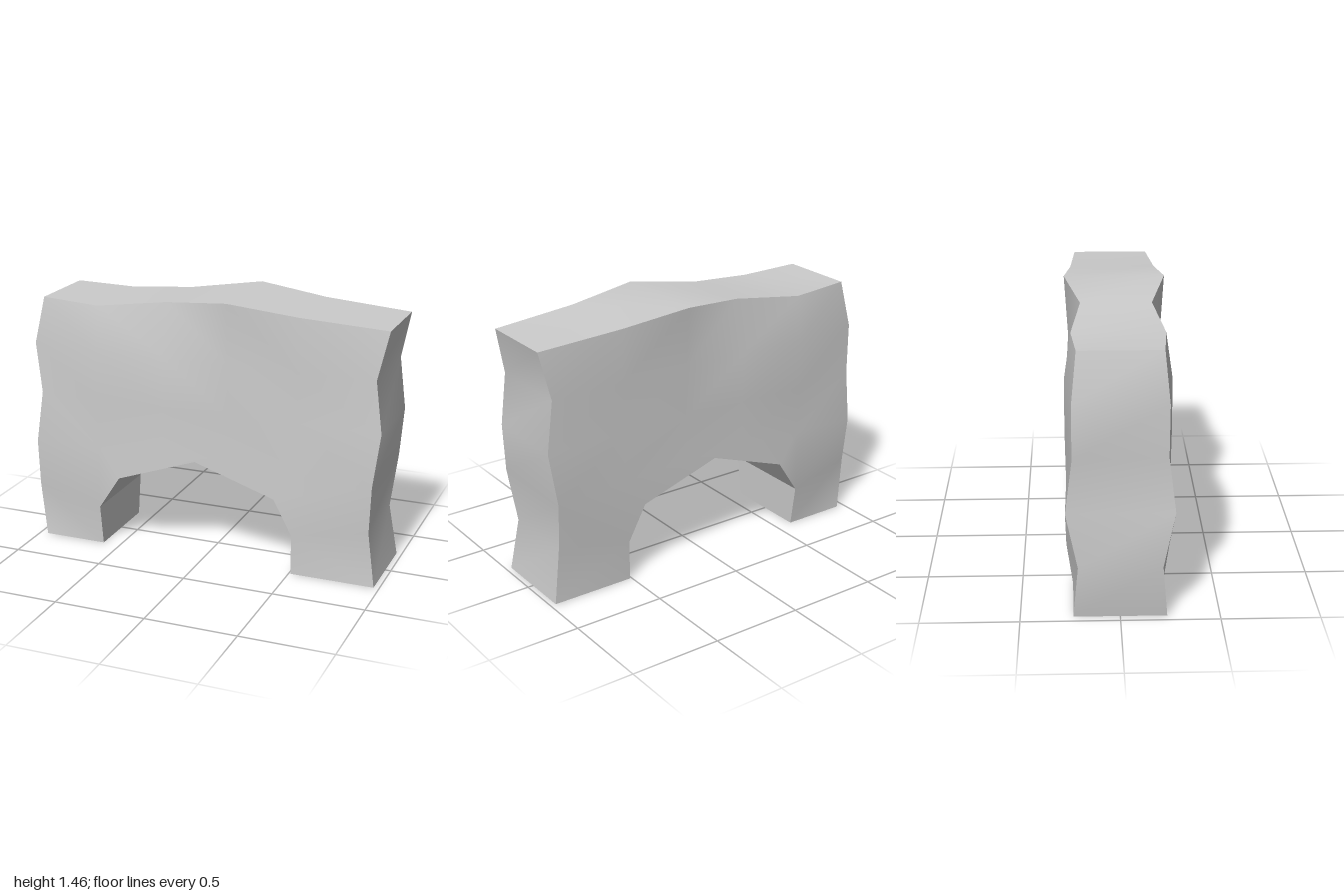
import * as THREE from 'three';
import { toCreasedNormals } from 'three/addons/utils/BufferGeometryUtils.js';

// Front control points: [x, y, half depth, optional x on the back]
const rows = [
  [[-0.93, 1.385, 0.21], [-0.6, 1.372, 0.235], [-0.22, 1.415, 0.185], [0.15, 1.46, 0.27], [0.53, 1.415, 0.235], [1, 1.385, 0.21]],
  [[-0.98, 1.13, 0.235], [-0.6, 1.13, 0.27], [-0.22, 1.13, 0.255], [0.15, 1.13, 0.25], [0.53, 1.13, 0.235], [0.945, 1.13, 0.235]],
  [[-0.95, 0.85, 0.235, -0.978], [-0.6, 0.85, 0.27], [-0.22, 0.85, 0.25], [0.15, 0.85, 0.245], [0.53, 0.85, 0.235], [0.98, 0.85, 0.235]],
  [[-0.975, 0.57, 0.27], [-0.6, 0.58, 0.265], [-0.22, 0.6, 0.255], [0.15, 0.6, 0.25], [0.53, 0.58, 0.235], [0.95, 0.57, 0.27]],
];
const apex = [-0.035, 0.57, 0.255];
// Each leg: outer knee, outer foot, inner foot, inner knee, arch shoulder
const leftLeg = [[-1, 0.29, 0.21], [-0.955, 0, 0.235], [-0.6, 0, 0.235], [-0.6, 0.23, 0.268], [-0.48, 0.415, 0.266]];
const rightLeg = [[0.925, 0.29, 0.21], [0.97, 0, 0.235], [0.51, 0, 0.235], [0.51, 0.22, 0.235], [0.41, 0.415, 0.24]];

function archGeometry() {
  const points = [...rows.flat(), apex, ...leftLeg, ...rightLeg];
  const n = points.length;
  const positions = [
    ...points.flatMap(([x, y, d]) => [x, y, d]),
    ...points.flatMap(([x, y, d, bx = x]) => [bx, y, -d]),
  ];
  const index = [];
  const tri = (a, b, c) => {
    if (a !== b && b !== c && a !== c) index.push(a, b, c);
  };
  // A patch on the front and its mirrored copy on the back
  const face = (a, b, c) => {
    tri(a, b, c);
    tri(a + n, c + n, b + n);
  };
  const quad = (a, b, c, d) => {
    face(a, b, c);
    face(a, c, d);
  };

  // Wall above the arch
  for (let r = 0; r < 3; r++) {
    for (let c = 0; c < 5; c++) {
      const a = r * 6 + c;
      quad(a, a + 6, a + 7, a + 1);
    }
  }
  face(20, 24, 21);

  // Strips running from the arch apex down each leg
  const leftOuter = [20, 19, 18, 25, 26], leftInner = [24, 29, 28, 28, 27];
  const rightOuter = [21, 22, 23, 30, 31], rightInner = [24, 34, 33, 33, 32];
  for (let i = 0; i < 4; i++) {
    quad(leftOuter[i], leftOuter[i + 1], leftInner[i + 1], leftInner[i]);
    quad(rightInner[i], rightInner[i + 1], rightOuter[i + 1], rightOuter[i]);
  }

  // Rim joining front to back: sides, feet, arch underside and top
  const outline = [0, 6, 12, 18, 25, 26, 27, 28, 29, 24, 34, 33, 32, 31, 30, 23, 17, 11, 5, 4, 3, 2, 1];
  outline.forEach((a, i) => {
    const b = outline[(i + 1) % outline.length];
    tri(a, a + n, b + n);
    tri(a, b + n, b);
  });

  const geometry = new THREE.BufferGeometry();
  geometry.setAttribute('position', new THREE.Float32BufferAttribute(positions, 3));
  geometry.setIndex(index);
  return toCreasedNormals(geometry, THREE.MathUtils.degToRad(30));
}

export function createModel() {
  const model = new THREE.Group();
  model.name = 'stoneArch';
  const arch = new THREE.Mesh(archGeometry(), new THREE.MeshStandardMaterial({ color: 0xcccccc }));
  arch.name = 'archBody';
  model.add(arch);
  return model;
}
